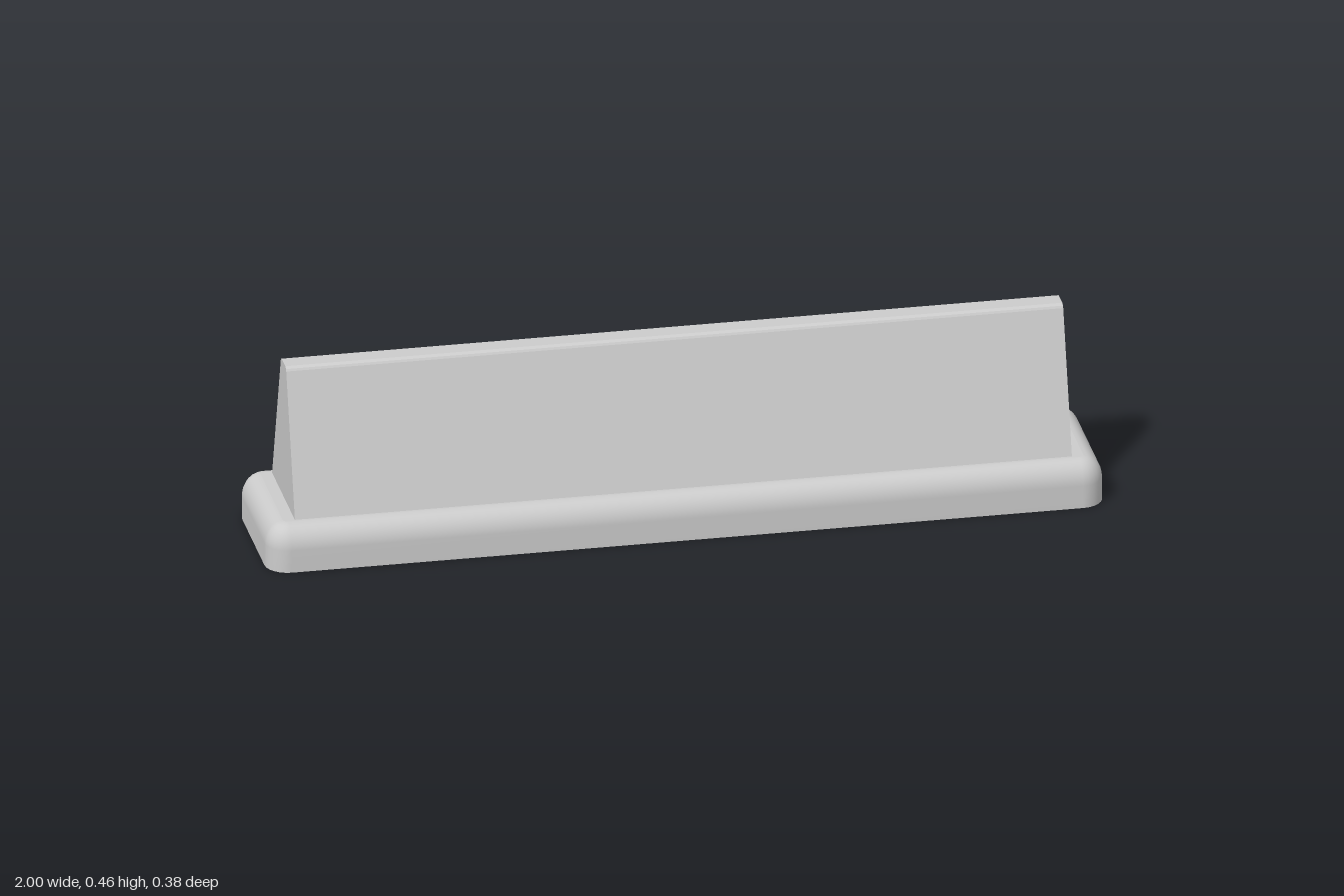
import * as THREE from 'three';

const HALF_X = 1, HALF_Z = 0.1875;        // base footprint
const BASE_Y = 0.112, STRAIGHT_Y = 0.056; // base top, end of its straight side
const INSET = 0.044, CORNER = 0.055;      // edge rounding, plan corner radius
const WALL_X = 0.928, WALL_Z = 0.137;     // foot of the tapered wall

const material = new THREE.MeshStandardMaterial({ color: 0xcccccc, side: THREE.DoubleSide });
const flatMaterial = material.clone();
flatMaterial.flatShading = true;

// Rounded rectangle outline, pulled in by the given inset, as [x, z] points
function outline(inset, steps = 6) {
  const points = [];
  const r = CORNER - inset;
  [[1, 1], [-1, 1], [-1, -1], [1, -1]].forEach(([sx, sz], quarter) => {
    for (let i = 0; i <= steps; i++) {
      const a = (quarter + i / steps) * Math.PI / 2;
      points.push([sx * (HALF_X - CORNER) + r * Math.cos(a), sz * (HALF_Z - CORNER) + r * Math.sin(a)]);
    }
  });
  return points;
}

// Hollow base skirt: straight side, then a quarter round up to the top
function baseSkirt() {
  const sections = [[0, 0]];
  for (let i = 0; i <= 8; i++) {
    const a = i / 8 * Math.PI / 2;
    sections.push([INSET * (1 - Math.cos(a)), STRAIGHT_Y + (BASE_Y - STRAIGHT_Y) * Math.sin(a)]);
  }
  const positions = [], index = [];
  const n = outline(0).length;
  sections.forEach(([inset, y], row) => {
    outline(inset).forEach(([x, z], i) => {
      positions.push(x, y, z);
      if (row === 0) return;
      const j = (i + 1) % n, low = (row - 1) * n, up = row * n;
      index.push(low + i, up + i, low + j, up + i, up + j, low + j);
    });
  });
  const geometry = new THREE.BufferGeometry();
  geometry.setAttribute('position', new THREE.Float32BufferAttribute(positions, 3));
  geometry.setIndex(index);
  geometry.computeVertexNormals();
  return geometry;
}

// Flat top of the base, open where the hollow wall rises
function baseTop() {
  const shape = new THREE.Shape(outline(INSET).map(([x, z]) => new THREE.Vector2(x, z)));
  shape.holes.push(new THREE.Path([[-1, -1], [-1, 1], [1, 1], [1, -1]]
    .map(([x, z]) => new THREE.Vector2(x * WALL_X, z * WALL_Z))));
  return new THREE.ShapeGeometry(shape).rotateX(-Math.PI / 2).translate(0, BASE_Y, 0);
}

// Cross-section of the wall as [z, y], from back foot over the ridge to front foot
const half = [[WALL_Z, BASE_Y], [0.033, 0.447], [0.03, 0.452], [0.022, 0.456]];
const profile = [...half.map(([z, y]) => [-z, y]), ...half.slice().reverse()];

function wallSides() {
  const sheet = new THREE.PlaneGeometry(2 * WALL_X, 1, 1, profile.length - 1);
  const p = sheet.attributes.position;
  for (let i = 0; i < p.count; i++) {
    const [z, y] = profile[Math.floor(i / 2)];
    p.setXYZ(i, p.getX(i), y, z);
  }
  const geometry = sheet.toNonIndexed();
  geometry.computeVertexNormals();
  return geometry;
}

function wallEnd(side) {
  const shape = new THREE.Shape(profile.map(([z, y]) => new THREE.Vector2(z, y)));
  return new THREE.ShapeGeometry(shape).rotateY(side * Math.PI / 2).translate(side * WALL_X, 0, 0);
}

export function createModel() {
  const group = new THREE.Group();
  group.name = 'barrier';
  const add = (name, geometry, mat) => {
    const mesh = new THREE.Mesh(geometry, mat);
    mesh.name = name;
    group.add(mesh);
  };
  add('baseSkirt', baseSkirt(), material);
  add('baseTop', baseTop(), flatMaterial);
  add('wallSides', wallSides(), flatMaterial);
  add('leftEnd', wallEnd(1), flatMaterial);
  add('rightEnd', wallEnd(-1), flatMaterial);
  return group;
}
